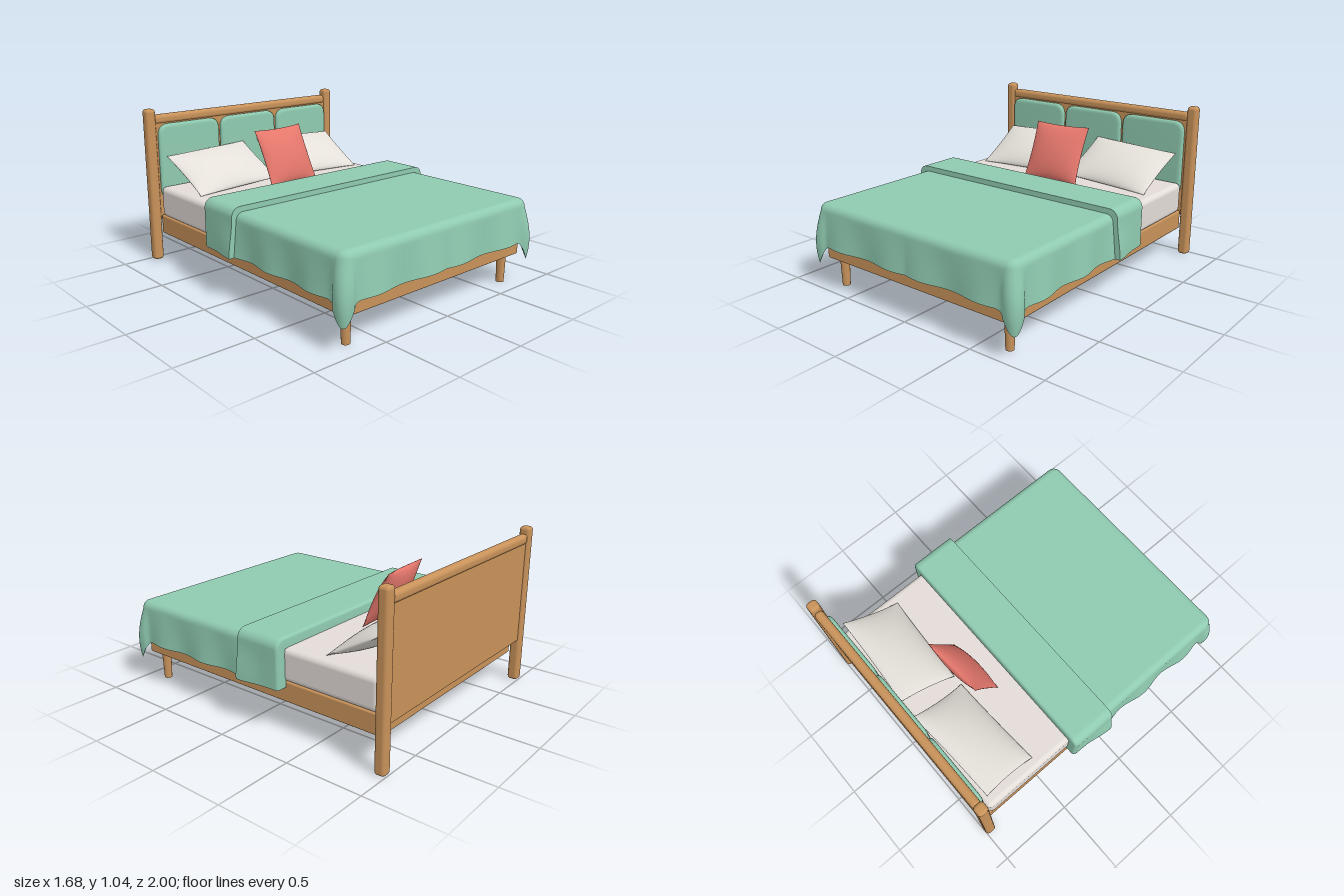
import * as THREE from 'three';
import { mergeGeometries, mergeVertices, toCreasedNormals } from 'three/addons/utils/BufferGeometryUtils.js';
import { RoundedBoxGeometry } from 'three/addons/geometries/RoundedBoxGeometry.js';

const mat = (name, color, side = THREE.FrontSide) => {
  const m = new THREE.MeshStandardMaterial({ color, side });
  m.name = name;
  return m;
};

// Smooth surface from a grid of points, fn(i, j) -> [x, y, z]; a repeated row makes a crease
function gridGeometry(nu, nv, fn) {
  const pos = [], index = [];
  for (let j = 0; j <= nv; j++) for (let i = 0; i <= nu; i++) pos.push(...fn(i, j));
  for (let j = 0; j < nv; j++) for (let i = 0; i < nu; i++) {
    const a = j * (nu + 1) + i, b = a + 1, c = a + nu + 1, d = c + 1;
    index.push(a, b, d, a, d, c);
  }
  const g = new THREE.BufferGeometry();
  g.setAttribute('position', new THREE.Float32BufferAttribute(pos, 3));
  g.setIndex(index);
  g.computeVertexNormals();
  return g;
}

// Stuffed pillow lying flat: two bulging faces meeting at a pinched, soft seam
function pillowGeometry(w, d, thick, pinch) {
  const n = 24;
  const face = (s) => gridGeometry(n, n, (i, j) => {
    const u = Math.sin((i / n - 0.5) * Math.PI), v = Math.sin((j / n - 0.5) * Math.PI);
    const x = u * (1 - pinch * u * u * (1 - v * v)) * w / 2;
    const z = -s * v * (1 - pinch * v * v * (1 - u * u)) * d / 2;
    const y = s * Math.pow(Math.max(0, (1 - u * u) * (1 - v * v)), 0.6) * thick / 2;
    return [x, y, z];
  }).deleteAttribute('normal');
  const g = mergeVertices(mergeGeometries([face(1), face(-1)]));
  g.computeVertexNormals();
  return g;
}

// Blanket draped over the sides and foot, with a wavy hem, hanging corners and a lining
function blanketGeometry() {
  const hw = 0.78, front = 0.968, r = 0.06, top = 0.555, edge = 0.05, half = [];
  const zc = front - r, xc = hw - r, arc = r * Math.PI / 4;
  const add = (x, z, nx, nz, dist, wave) => half.push({ x, z, nx, nz, wave, w: Math.exp(-((dist / 0.045) ** 2)) });
  for (let i = 0; i < 70; i++) {
    const z = -0.2 + (zc + 0.2) * i / 70;
    add(hw, z, 1, 0, zc - z + arc, Math.cos((z - 0.36) * 17));
  }
  for (let i = 0; i <= 14; i++) {
    const a = i / 14 * Math.PI / 2;
    add(xc + r * Math.cos(a), zc + r * Math.sin(a), Math.cos(a), Math.sin(a), (a - Math.PI / 4) * r, 0);
  }
  for (let i = 1; i <= 48; i++) {
    const x = xc * (1 - i / 48);
    add(x, front, 0, 1, xc - x + arc, Math.cos((x - 0.12) * 14.3));
  }
  const path = [...half, ...half.slice(0, -1).reverse().map((p) => ({ ...p, x: -p.x, nx: -p.nx }))];
  const arcRows = 7, hemRow = 17;
  return gridGeometry(path.length - 1, hemRow + 2, (i, j) => {
    const p = path[i];
    if (j === 0) return [0, top, -0.15];
    let off, y;
    if (j <= arcRows) {
      const a = (j - 1) / (arcRows - 1) * Math.PI / 2;
      off = edge * (Math.sin(a) - 1);
      y = top - edge + edge * Math.cos(a);
    } else if (j < hemRow + 2) {
      const t = Math.min(1, (j - arcRows) / (hemRow - arcRows));
      off = t * (0.014 + 0.013 * p.wave) * (1 - p.w) + 0.046 * p.w * Math.sin(t * 2.4);
      y = THREE.MathUtils.lerp(top - edge, 0.284 - 0.13 * p.w, t);
    } else {
      off = -0.03;
      y = 0.3;
    }
    return [p.x + p.nx * off, y, p.z + p.nz * off];
  });
}

// Folded-back blanket band: an arch across the bed, turned in at the ends and hems
function foldGeometry() {
  const hw = 0.81, top = 0.59, r = 0.06, hem = 0.283;
  const half = [{ x: 0.76, y: hem + 0.01, nx: 0, ny: 0, low: 0 }, { x: hw, y: hem, nx: 1, ny: 0, low: 1 }];
  for (let i = 0; i < 8; i++) half.push({ x: hw, y: THREE.MathUtils.lerp(hem, top - r, i / 8), nx: 1, ny: 0, low: 1 - i / 8 });
  for (let i = 0; i <= 8; i++) {
    const a = i / 8 * Math.PI / 2, nx = Math.cos(a), ny = Math.sin(a);
    half.push({ x: hw - r + r * nx, y: top - r + r * ny, nx, ny, low: 0 });
  }
  const arch = [...half, ...[...half].reverse().map((p) => ({ ...p, x: -p.x, nx: -p.nx }))];
  // Lengthwise rows: inset from the arch, then z
  const rows = [[0.07, -0.27], [0.02, -0.27], [0.01, -0.267], [0.003, -0.26], [0, -0.25], [0, -0.15],
    [0, -0.1], [0, -0.05], [0, 0], [0, 0.035], [0, 0.035], [0.045, 0.035]];
  return gridGeometry(arch.length - 1, rows.length - 1, (i, j) => {
    const p = arch[i], [inset, z] = rows[j];
    const flare = 0.028 * THREE.MathUtils.smoothstep(p.low, 0, 1) * THREE.MathUtils.smoothstep(z, -0.2, 0.035);
    return [p.x + p.nx * (flare - inset), p.y - p.ny * inset, z];
  });
}

// Upholstered headboard pad with rounded corners and a soft edge
function padGeometry(w, h, r) {
  const x = w / 2, s = new THREE.Shape();
  s.moveTo(-x + r, 0);
  s.lineTo(x - r, 0);
  s.quadraticCurveTo(x, 0, x, r);
  s.lineTo(x, h - r);
  s.quadraticCurveTo(x, h, x - r, h);
  s.lineTo(-x + r, h);
  s.quadraticCurveTo(-x, h, -x, h - r);
  s.lineTo(-x, r);
  s.quadraticCurveTo(-x, 0, -x + r, 0);
  const g = new THREE.ExtrudeGeometry(s, {
    depth: 0.003, curveSegments: 10, bevelThickness: 0.018, bevelSize: 0.025, bevelOffset: -0.025, bevelSegments: 5,
  });
  return toCreasedNormals(g, 0.8);
}

export function createModel() {
  const bed = new THREE.Group();
  bed.name = 'bed';
  const wood = mat('wood', 0xc8925a);
  const green = mat('green fabric', 0x8fcab0);
  const cloth = mat('green blanket', 0x8fcab0, THREE.DoubleSide);
  const linen = mat('mattress linen', 0xe3dcd7);
  const white = mat('pillow white', 0xe4e0d9);
  const coral = mat('coral fabric', 0xe5776c);

  const add = (name, geo, material, x = 0, y = 0, z = 0) => {
    const m = new THREE.Mesh(geo, material);
    m.name = name;
    m.position.set(x, y, z);
    bed.add(m);
    return m;
  };
  // Rounded box given by its limits
  const box = (name, material, r, x0, x1, y0, y1, z0, z1) => add(name,
    new RoundedBoxGeometry(x1 - x0, y1 - y0, z1 - z0, 4, r), material, (x0 + x1) / 2, (y0 + y1) / 2, (z0 + z1) / 2);

  // Headboard
  for (const s of [-1, 1]) {
    box('headboardPost', wood, 0.022, s * 0.77 - 0.035, s * 0.77 + 0.035, 0, 1.045, -1, -0.93);
  }
  box('headboardTopRail', wood, 0.026, -0.745, 0.745, 0.938, 1.003, -0.996, -0.938);
  box('headboardPanel', wood, 0.014, -0.75, 0.75, 0.28, 0.955, -0.984, -0.944);
  for (const x of [-0.49, 0, 0.49]) add('headboardPad', padGeometry(0.474, 0.52, 0.08), green, x, 0.42, -0.936);

  // Frame, deck and front legs
  for (const s of [-1, 1]) {
    box('sideRail', wood, 0.01, s * 0.722 - 0.018, s * 0.722 + 0.018, 0.19, 0.318, -0.93, 0.94);
    add('frontLeg', new THREE.CylinderGeometry(0.032, 0.025, 0.24, 24), wood, s * 0.67, 0.12, 0.866);
  }
  box('footRail', wood, 0.01, -0.735, 0.735, 0.19, 0.318, 0.904, 0.94);
  box('headRail', wood, 0.01, -0.735, 0.735, 0.19, 0.318, -0.93, -0.894);
  add('deck', new THREE.BoxGeometry(1.43, 0.04, 1.82), wood, 0, 0.26, 0.005);

  // Bedding
  box('mattress', linen, 0.035, -0.745, 0.745, 0.315, 0.522, -0.912, 0.93);
  add('blanket', blanketGeometry(), cloth);
  add('blanketFold', foldGeometry(), cloth);

  // Pillows
  const pillow = (name, geo, material, x, y, z, tilt, yaw, roll) => {
    add(name, geo, material, x, y, z).rotation.set(tilt, yaw, roll, 'YXZ');
  };
  const sleepPillow = pillowGeometry(0.645, 0.425, 0.13, 0.035);
  for (const s of [-1, 1]) pillow('pillow', sleepPillow, white, s * 0.368, 0.634, -0.714, 0.51, -s * 0.07, -s * 0.03);
  pillow('throwPillow', pillowGeometry(0.41, 0.4, 0.12, 0.05), coral, -0.003, 0.706, -0.483, 1.13, 0.075, 0);

  return bed;
}
